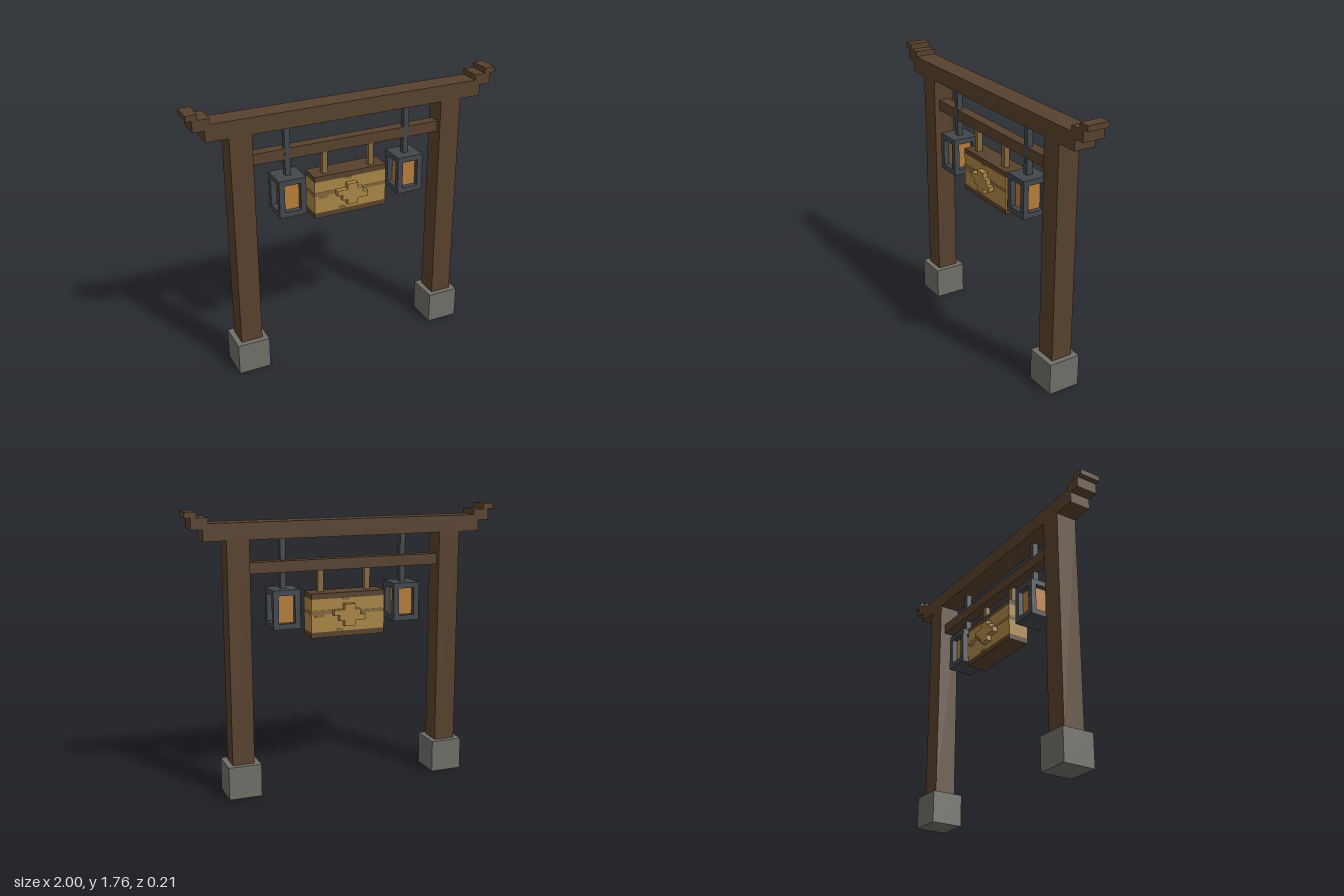
import * as THREE from 'three';

const U = 2 / 58; // one block

function material(name, color) {
  const m = new THREE.MeshStandardMaterial({ color });
  m.name = name;
  return m;
}

export function createModel() {
  const wood = material('dark wood', 0x57412c);
  const stone = material('stone', 0x6f6e67);
  const iron = material('iron', 0x42474b);
  const glow = material('lantern glow', 0xb67d38);
  const gold = material('sign wood', 0xa88544);
  const stain = material('sign grain', 0x82663a);
  const rod = material('rod wood', 0x86693a);

  const model = new THREE.Group();
  model.name = 'hangingSignGate';

  // Box from min and max corners, in blocks
  function box(name, mat, [x0, y0, z0], [x1, y1, z1], parent = model) {
    const mesh = new THREE.Mesh(new THREE.BoxGeometry((x1 - x0) * U, (y1 - y0) * U, (z1 - z0) * U), mat);
    mesh.position.set((x0 + x1) * U / 2, (y0 + y1) * U / 2, (z0 + z1) * U / 2);
    mesh.name = name;
    parent.add(mesh);
    return mesh;
  }

  // Extruded outline, in blocks
  function slab(name, mat, points, z0, z1, parent = model) {
    const shape = new THREE.Shape(points.map(([x, y]) => new THREE.Vector2(x * U, y * U)));
    const geo = new THREE.ExtrudeGeometry(shape, { depth: (z1 - z0) * U, bevelEnabled: false });
    geo.translate(0, 0, z0 * U);
    const mesh = new THREE.Mesh(geo, mat);
    mesh.name = name;
    parent.add(mesh);
  }

  // Top beam with stepped, upturned ends
  const half = [[26, 46], [26, 48], [28, 48], [28, 50], [29, 50], [29, 51], [27, 51], [27, 50], [25, 50], [25, 49]];
  const mirrored = half.map(([x, y]) => [-x, y]).reverse();
  slab('topBeam', wood, [...half, ...mirrored], -2, 2);
  box('crossBeam', wood, [-18, 40, -1], [18, 42, 1]);

  for (const s of [-1, 1]) {
    const side = s > 0 ? 'left' : 'right';

    // Post on its stone foot
    box(side + 'Post', wood, [s * 20 - 2, 6, -2], [s * 20 + 2, 46, 2]);
    box(side + 'Foot', stone, [s * 20 - 3, 0, -3], [s * 20 + 3, 6, 3]);

    // Lantern: iron cage around a recessed glowing core
    const lantern = new THREE.Group();
    lantern.name = side + 'Lantern';
    lantern.position.set(s * 11.5 * U, 0, 0.5 * U);
    model.add(lantern);
    box('hanger', iron, [-0.5, 37, -0.55], [0.5, 46, 0.55], lantern);
    box('lanternTop', iron, [-2.5, 36, -2.5], [2.5, 37, 2.5], lantern);
    box('lanternBottom', iron, [-2.5, 30, -2.5], [2.5, 31, 2.5], lantern);
    for (const x of [-2, 2]) for (const z of [-2, 2])
      box('lanternCorner', iron, [x - 0.5, 31, z - 0.5], [x + 0.5, 36, z + 0.5], lantern);
    box('lanternCore', glow, [-1.5, 31, -1.5], [1.5, 36, 1.5], lantern);

    // Rod holding the sign
    box(side + 'SignRod', rod, [s * 4.5 - 0.5, 36, 0], [s * 4.5 + 0.5, 40, 1]);
  }

  // Sign board with dark rails
  box('signBoard', gold, [-7, 29, -2], [7, 35, 2]);
  box('signTopRail', wood, [-7, 35, -2], [7, 36, 2]);
  box('signBottomRail', wood, [-7, 28, -2], [7, 29, 2]);

  // Raised emblem and wood grain, the same on both faces
  const emblem = [[-1, 30], [1, 30], [1, 31], [3, 31], [3, 32], [2, 32], [2, 33], [1, 33],
    [1, 34], [-1, 34], [-1, 33], [-3, 33], [-3, 32], [-2, 32], [-2, 31], [-1, 31]];
  const grain = [[-7, 32.2, -2.5, 33], [-6.3, 31.7, -4.6, 32.2], [2, 32.1, 7, 32.7],
    [-1.2, 34.6, 0.2, 35], [-2.4, 29, -0.9, 29.5]];
  for (const turn of [0, Math.PI]) {
    const face = new THREE.Group();
    face.name = turn ? 'signBack' : 'signFront';
    face.rotation.y = turn;
    model.add(face);
    slab('emblem', gold, emblem, 2, 3, face);
    for (const [x0, y0, x1, y1] of grain) box('grain', stain, [x0, y0, 1.98], [x1, y1, 2.04], face);
    // Grain carried round the board's end
    box('endGrain', stain, [6.98, 32.1, -2], [7.04, 32.8, 2], face);
  }

  return model;
}
